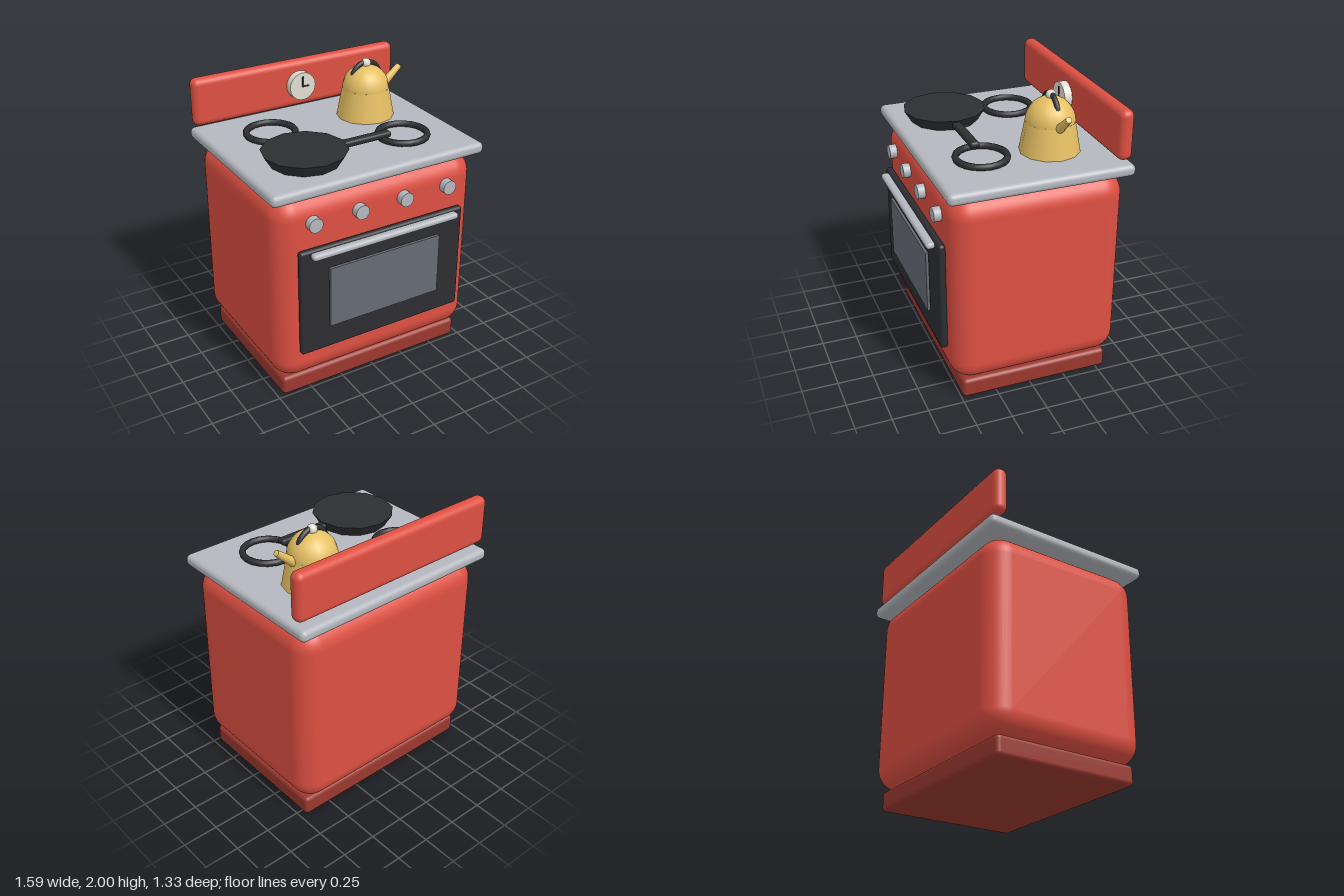
import * as THREE from 'three';
import { RoundedBoxGeometry } from 'three/addons/geometries/RoundedBoxGeometry.js';

const paint = (color) => new THREE.MeshStandardMaterial({ color });

export function createModel() {
  const stove = new THREE.Group();
  stove.name = 'stove';

  const red = paint(0xdd4f41), darkRed = paint(0x9a382f), steel = paint(0xb4b7bd);
  const black = paint(0x2d2e32), glass = paint(0x666a73), cream = paint(0xe2ddd2);
  const yellow = paint(0xe6c063);
  const blackFlat = paint(0x2d2e32);
  blackFlat.flatShading = true;

  const add = (name, geometry, material, x, y, z, parent = stove) => {
    const mesh = new THREE.Mesh(geometry, material);
    mesh.name = name;
    mesh.position.set(x, y, z);
    parent.add(mesh);
    return mesh;
  };
  // Rounded box given by its extents on each axis
  const block = (name, material, [x0, x1], [y0, y1], [z0, z1], radius, segments = 4) =>
    add(name, new RoundedBoxGeometry(x1 - x0, y1 - y0, z1 - z0, segments, radius), material,
      (x0 + x1) / 2, (y0 + y1) / 2, (z0 + z1) / 2);

  // Cabinet
  block('plinth', darkRed, [-0.713, 0.713], [0, 0.14], [-0.563, 0.49], 0.03);
  block('body', red, [-0.763, 0.763], [0.14, 1.505], [-0.632, 0.56], 0.15, 6);
  block('cooktop', steel, [-0.797, 0.797], [1.505, 1.587], [-0.665, 0.59], 0.035);
  block('backsplash', red, [-0.797, 0.797], [1.622, 1.96], [-0.632, -0.533], 0.045);

  // Oven door
  block('ovenDoor', black, [-0.628, 0.628], [0.38, 1.16], [0.56, 0.61], 0.022);
  add('ovenWindow', new THREE.BoxGeometry(0.85, 0.44, 0.02), glass, 0, 0.786, 0.627);
  block('doorHandle', steel, [-0.56, 0.56], [1.106, 1.152], [0.606, 0.668], 0.022);

  // Control knobs
  for (const x of [-0.51, -0.17, 0.17, 0.51]) {
    const knob = add('controlKnob', new THREE.CylinderGeometry(0.05, 0.05, 0.055, 16), steel, x, 1.33, 0.583);
    knob.rotation.x = Math.PI / 2;
  }

  // Clock with two hands
  const clock = new THREE.Group();
  clock.name = 'clock';
  clock.position.set(0, 1.79, -0.5);
  stove.add(clock);
  add('clockFace', new THREE.CylinderGeometry(0.1, 0.1, 0.055, 24), cream, 0, 0, 0, clock).rotation.x = Math.PI / 2;
  add('minuteHand', new THREE.BoxGeometry(0.012, 0.075, 0.008), black, 0, 0.034, 0.028, clock);
  add('hourHand', new THREE.BoxGeometry(0.055, 0.012, 0.008), black, 0.022, 0, 0.028, clock);

  // Four burner rings
  for (const x of [-0.378, 0.375])
    for (const z of [-0.243, 0.23])
      add('burnerRing', new THREE.TorusGeometry(0.168, 0.023, 8, 20), black, x, 1.612, z).rotation.x = Math.PI / 2;

  // Frying pan
  add('pan', new THREE.CylinderGeometry(0.287, 0.235, 0.083, 12), blackFlat, -0.378, 1.63, 0.23);
  block('panHandle', black, [-0.12, 0.268], [1.617, 1.662], [0.198, 0.262], 0.018);

  // Kettle
  const kettle = new THREE.Group();
  kettle.name = 'kettle';
  kettle.position.set(0.375, 0, -0.243);
  stove.add(kettle);
  add('kettleBody', new THREE.CylinderGeometry(0.165, 0.203, 0.207, 12), yellow, 0, 1.69, 0, kettle);
  add('kettleDome', new THREE.SphereGeometry(0.165, 16, 8, 0, Math.PI * 2, 0, Math.PI / 2), yellow, 0, 1.79, 0, kettle);
  add('kettleHandle', new THREE.TorusGeometry(0.113, 0.018, 8, 16, Math.PI), black, 0, 1.86, 0, kettle);
  add('lidKnob', new THREE.SphereGeometry(0.035, 12, 8), cream, 0, 1.965, 0, kettle);

  // Spout, slanting up towards +x
  const from = new THREE.Vector3(0.11, 1.755, 0), to = new THREE.Vector3(0.28, 1.898, 0);
  const axis = to.clone().sub(from);
  const spout = add('spout', new THREE.CylinderGeometry(0.021, 0.035, axis.length(), 8), yellow, 0, 0, 0, kettle);
  spout.position.addVectors(from, to).multiplyScalar(0.5);
  spout.quaternion.setFromUnitVectors(new THREE.Vector3(0, 1, 0), axis.normalize());

  return stove;
}
